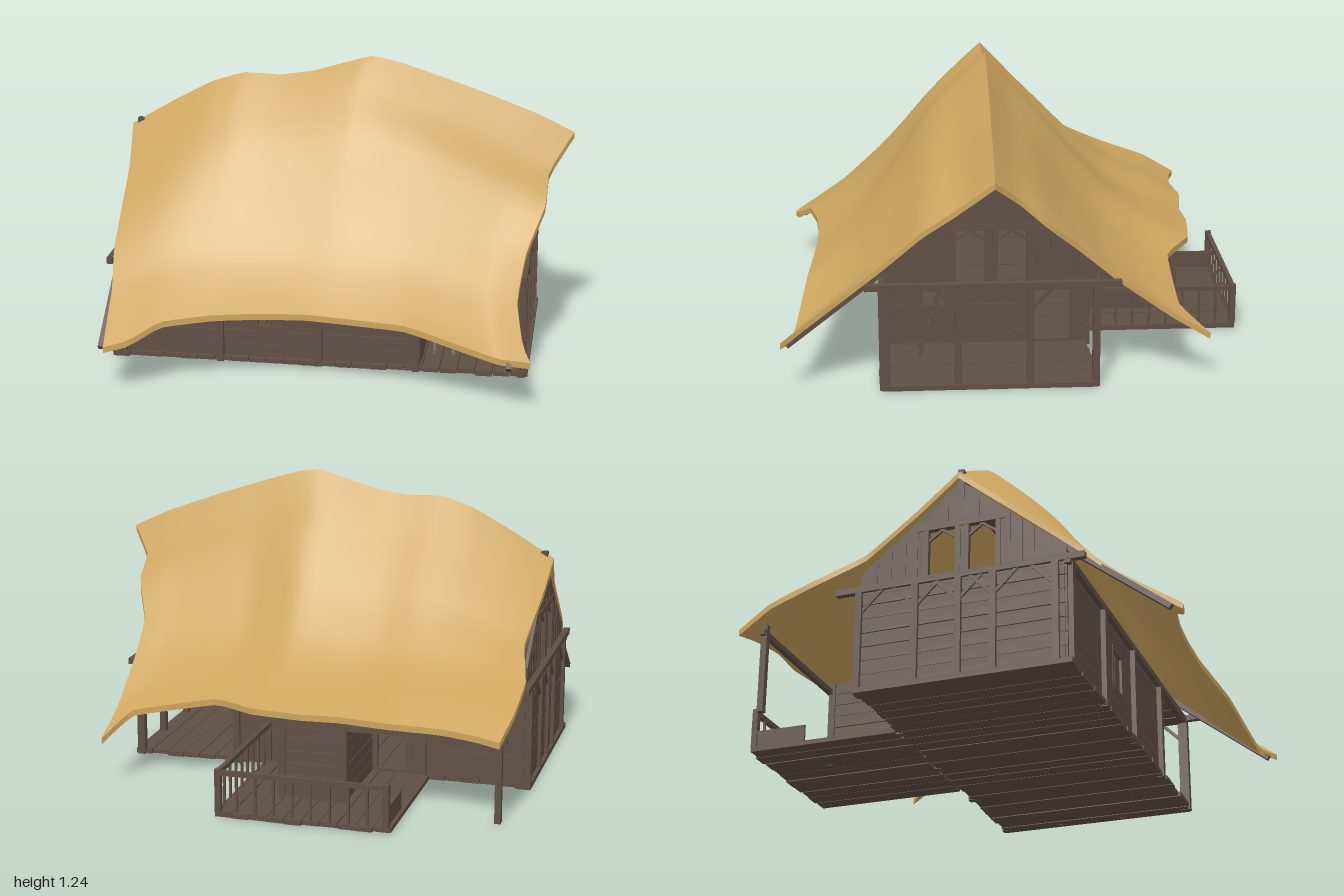
import * as THREE from 'three';

const wood = new THREE.MeshStandardMaterial({ color: 0x5f4f45 });
const thatch = new THREE.MeshStandardMaterial({ color: 0xcda55f });

let seed = 7;
const rand = () => (seed = (seed * 16807) % 2147483647) / 2147483647;

function box(parent, name, x0, x1, y0, y1, z0, z1) {
  const m = new THREE.Mesh(new THREE.BoxGeometry(x1 - x0, y1 - y0, z1 - z0), wood);
  m.position.set((x0 + x1) / 2, (y0 + y1) / 2, (z0 + z1) / 2);
  m.name = name;
  parent.add(m);
}

// Square timber between two points
function beam(parent, name, a, b, w = 0.025) {
  const p = new THREE.Vector3(...a), q = new THREE.Vector3(...b);
  const m = new THREE.Mesh(new THREE.BoxGeometry(w, w, p.distanceTo(q)), wood);
  m.position.copy(p).lerp(q, 0.5);
  m.lookAt(q);
  m.name = name;
  parent.add(m);
}

// Wall of horizontal planks along 'x' or 'z', with openings [from, to, bottom, top]
function plankWall(parent, name, axis, pos, from, to, top, openings = []) {
  const rows = 7, h = (top - 0.02) / rows, t = 0.009;
  const wall = new THREE.Group();
  wall.name = name;
  for (let i = 0; i < rows; i++) {
    const y0 = 0.02 + i * h, y1 = y0 + h - 0.001 - 0.003 * rand(), mid = (y0 + y1) / 2;
    let start = from;
    const spans = [];
    for (const o of openings) {
      if (mid < o[2] || mid > o[3]) continue;
      spans.push([start, o[0]]);
      start = o[1];
    }
    spans.push([start, to]);
    for (const [a, b] of spans) {
      if (axis === 'x') box(wall, 'plank', a, b, y0, y1, pos - t, pos + t);
      else box(wall, 'plank', pos - t, pos + t, y0, y1, a, b);
    }
  }
  for (const [a, b, y0, y1] of openings) {
    const pt = (s, y) => axis === 'x' ? [s, y, pos] : [pos, y, s];
    for (const s of [a, b]) beam(wall, 'openingJamb', pt(s, y0), pt(s, y1), 0.022);
    for (const y of [y0, y1]) beam(wall, 'openingLintel', pt(a, y), pt(b, y), 0.022);
  }
  parent.add(wall);
}

// Floor boards running front to back
function floorBoards(parent, name, x0, x1, z0, z1, y0, y1, n) {
  const g = new THREE.Group();
  g.name = name;
  const w = (x1 - x0) / n;
  for (let i = 0; i < n; i++)
    box(g, 'floorBoard', x0 + i * w, x0 + (i + 1) * w - 0.003, y0 + rand() * 0.004, y1 + rand() * 0.003,
      z0 + rand() * 0.015, z1 - rand() * 0.015);
  parent.add(g);
}

// One roof slope: a sheet stretched between ridge, eave and two verges, with thickness;
// bulge(t) raises or lowers the middle on the way from ridge to eave
function roofSlope(name, ridgePts, eavePts, leftPts, rightPts, bulge) {
  const curve = pts => new THREE.CatmullRomCurve3(pts.map(p => new THREE.Vector3(...p)), false, 'catmullrom', 0.12);
  const [R, E, L, V] = [ridgePts, eavePts, leftPts, rightPts].map(curve);
  const [r0, r1, e0, e1] = [R.getPoint(0), R.getPoint(1), E.getPoint(0), E.getPoint(1)];
  const nu = 40, nt = 20, thick = 0.026;
  const at = (u, t) => {
    const p = new THREE.Vector3();
    p.addScaledVector(R.getPointAt(u), 1 - t).addScaledVector(E.getPointAt(u), t);
    p.addScaledVector(L.getPointAt(t), 1 - u).addScaledVector(V.getPointAt(t), u);
    p.addScaledVector(r0, -(1 - u) * (1 - t)).addScaledVector(r1, -u * (1 - t));
    p.addScaledVector(e0, -(1 - u) * t).addScaledVector(e1, -u * t);
    p.y += bulge(t) * Math.sin(Math.PI * u);
    return p;
  };
  const pos = [], idx = [];
  const flip = eavePts[0][2] < ridgePts[0][2];
  const grid = (fn, cols, rows, reverse) => {
    const base = pos.length / 3, w = cols + 1;
    for (let j = 0; j <= rows; j++) for (let i = 0; i <= cols; i++) pos.push(...fn(i, j).toArray());
    for (let j = 0; j < rows; j++) for (let i = 0; i < cols; i++) {
      const a = base + j * w + i, b = a + 1, c = a + w, d = c + 1;
      if (reverse !== flip) idx.push(a, b, c, b, d, c);
      else idx.push(a, c, b, b, c, d);
    }
  };
  const drop = (p, k) => { p.y -= k * thick; return p; };
  grid((i, j) => at(i / nu, j / nt), nu, nt, false);
  grid((i, j) => drop(at(i / nu, j / nt), 1), nu, nt, true);
  grid((i, j) => drop(at(i / nu, 1), j), nu, 1, false);
  grid((i, j) => drop(at(0, i / nt), j), nt, 1, false);
  grid((i, j) => drop(at(1, i / nt), j), nt, 1, true);
  const geo = new THREE.BufferGeometry();
  geo.setAttribute('position', new THREE.Float32BufferAttribute(pos, 3));
  geo.setIndex(idx);
  geo.computeVertexNormals();
  const m = new THREE.Mesh(geo, thatch);
  m.name = name;
  return m;
}

// Gable end with two window openings, battens and window bracing
function gable(x, side) {
  const g = new THREE.Group();
  g.name = side + 'Gable';
  const height = z => 0.875 - 0.84 * Math.abs(z - 0.11);
  const s = new THREE.Shape([[-0.31, 0.44], [0.55, 0.44], [0.55, height(0.55)], [0.11, 0.875], [-0.31, height(-0.31)]]
    .map(p => new THREE.Vector2(...p)));
  const windows = [[-0.035, 0.1], [0.135, 0.27]];
  for (const [a, b] of windows)
    s.holes.push(new THREE.Path([[a, 0.455], [a, 0.68], [b, 0.68], [b, 0.455]].map(p => new THREE.Vector2(...p))));
  const wall = new THREE.Mesh(new THREE.ExtrudeGeometry(s, { depth: 0.014, bevelEnabled: false }), wood);
  wall.geometry.rotateY(-Math.PI / 2);
  wall.position.x = x + 0.007;
  wall.name = 'gableBoards';
  g.add(wall);
  for (const [a, b] of windows) {
    for (const z of [a, b]) beam(g, 'windowJamb', [x, 0.45, z], [x, 0.69, z], 0.022);
    for (const z of [a, b]) beam(g, 'windowBrace', [x, 0.62, z], [x, 0.67, (a + b) / 2], 0.01);
  }
  beam(g, 'windowHead', [x, 0.685, -0.07], [x, 0.685, 0.3]);
  for (const z of [-0.25, -0.19, -0.13, -0.08, 0.05, 0.117, 0.18, 0.31, 0.36, 0.41, 0.47])
    beam(g, 'batten', [x, z > -0.03 && z < 0.26 ? 0.69 : 0.45, z], [x, height(z) - 0.01, z], 0.02);
  return g;
}

export function createModel() {
  const model = new THREE.Group();
  model.name = 'thatchedHouse';

  // Thatched roof
  const ridge = [[-0.955, 0.9, 0.11], [-0.77, 1.01, 0.11], [-0.6, 1.1, 0.11], [-0.46, 1.145, 0.11], [-0.3, 1.14, 0.11],
    [-0.15, 1.165, 0.11], [0.09, 1.235, 0.11], [0.22, 1.21, 0.11], [0.5, 1.12, 0.11], [0.8, 1.01, 0.11], [0.955, 0.935, 0.11]];
  const roof = new THREE.Group();
  roof.name = 'roof';
  roof.add(roofSlope('frontThatch', ridge,
    [[-0.88, 0.21, 0.99], [-0.78, 0.235, 0.97], [-0.66, 0.3, 0.91], [-0.45, 0.325, 0.87], [-0.27, 0.335, 0.855],
      [-0.07, 0.34, 0.85], [0.33, 0.325, 0.88], [0.7, 0.225, 0.92], [0.835, 0.235, 0.97]],
    [[-0.955, 0.9, 0.11], [-0.93, 0.75, 0.3], [-0.925, 0.5, 0.6], [-0.9, 0.37, 0.75], [-0.88, 0.21, 0.99]],
    [[0.955, 0.935, 0.11], [0.86, 0.8, 0.25], [0.855, 0.7, 0.4], [0.79, 0.55, 0.55], [0.765, 0.4, 0.73],
      [0.8, 0.28, 0.9], [0.835, 0.235, 0.97]], t => 0.035 * Math.sin(2 * Math.PI * t)));
  roof.add(roofSlope('backThatch', ridge,
    [[-0.92, 0.37, -0.85], [-0.82, 0.38, -0.82], [-0.67, 0.39, -0.8], [-0.46, 0.4, -0.82], [-0.26, 0.4, -0.79],
      [-0.1, 0.4, -0.8], [0.12, 0.4, -0.775], [0.31, 0.39, -0.66], [0.68, 0.31, -0.66], [0.775, 0.215, -0.78]],
    [[-0.955, 0.9, 0.11], [-0.94, 0.78, -0.05], [-0.91, 0.62, -0.3], [-0.955, 0.52, -0.5], [-0.95, 0.45, -0.7], [-0.92, 0.37, -0.85]],
    [[0.955, 0.935, 0.11], [0.86, 0.83, 0], [0.86, 0.74, -0.1], [0.78, 0.6, -0.25], [0.77, 0.47, -0.4],
      [0.765, 0.31, -0.62], [0.775, 0.215, -0.78]], t => 0.025 * Math.sin(2 * Math.PI * t) - 0.24 * t * (1 - t)));
  beam(roof, 'ridgePole', [-0.92, 0.87, 0.11], [0.8, 0.87, 0.11], 0.03);
  beam(roof, 'ridgePoleEnd', [-0.93, 0.915, 0.11], [-0.9, 0.915, 0.11], 0.025);
  for (const x of [-0.9, 0.75]) beam(roof, 'vergeRafter', [x, 0.85, 0.11], [x, 0.19, 0.95], 0.022);
  model.add(roof);

  // Floors
  floorBoards(model, 'mainFloor', -0.955, 0.81, -0.32, 0.58, 0, 0.02, 24);
  floorBoards(model, 'porchFloor', -0.52, 0.21, -0.99, -0.31, 0, 0.02, 10);
  floorBoards(model, 'loftFloor', -0.94, 0.78, -0.3, 0.55, 0.42, 0.435, 20);

  // Plank walls of the main room and the back wing
  plankWall(model, 'frontWall', 'x', 0.545, -0.935, 0.35, 0.44, [[-0.34, -0.21, 0.15, 0.33]]);
  plankWall(model, 'backWall', 'x', -0.3, -0.935, 0.35, 0.44, [[-0.43, -0.28, 0.02, 0.34]]);
  plankWall(model, 'rightWall', 'z', -0.93, -0.3, 0.545, 0.44);
  plankWall(model, 'leftWall', 'z', 0.35, -0.3, 0.545, 0.44, [[-0.25, -0.07, 0.02, 0.34], [0.29, 0.4, 0.18, 0.34]]);
  plankWall(model, 'wingRightWall', 'z', -0.26, -0.73, -0.3, 0.38);
  plankWall(model, 'wingLeftWall', 'z', 0, -0.73, -0.3, 0.38);
  plankWall(model, 'wingBackWall', 'x', -0.73, -0.26, 0, 0.38);
  for (const x of [-0.26, 0]) beam(model, 'wingPost', [x, 0, -0.73], [x, 0.38, -0.73], 0.03);
  box(model, 'windowShutter', -0.285, -0.22, 0.16, 0.32, 0.535, 0.545);

  // Posts, end beams and braces
  for (const z of [0.56, -0.31]) {
    for (const x of [-0.91, -0.49, -0.07, 0.34, 0.78]) beam(model, 'post', [x, 0, z], [x, 0.44, z], 0.03);
    beam(model, 'wallPlate', [-0.95, 0.435, z], [0.8, 0.435, z], 0.028);
  }
  const ends = [[0.785, 'left', [-0.31, -0.04, 0.255, 0.545]], [-0.94, 'right', [-0.31, -0.07, 0.11, 0.255, 0.51]]];
  for (const [x, side, zs] of ends) {
    beam(model, 'endBeam', [x, 0.447, -0.41], [x, 0.447, 0.63], 0.026);
    for (const z of zs) {
      beam(model, 'endPost', [x, 0, z], [x, 0.44, z], 0.028);
      for (const s of [-1, 1])
        if (z + s * 0.1 > -0.32 && z + s * 0.1 < 0.6) beam(model, 'brace', [x, 0.34, z], [x, 0.44, z + s * 0.1], 0.014);
    }
    model.add(gable(side === 'left' ? 0.75 : -0.92, side));
  }

  // Ladder to the loft
  const ladder = new THREE.Group();
  ladder.name = 'ladder';
  for (const x of [0.405, 0.485]) beam(ladder, 'ladderRail', [x, 0.02, 0.41], [x, 0.44, 0.27], 0.01);
  for (let i = 1; i < 10; i++) {
    const y = 0.02 + i * 0.042, z = 0.41 - i * 0.014;
    beam(ladder, 'rung', [0.405, y, z], [0.485, y, z], 0.007);
  }
  model.add(ladder);

  // Porch railing
  const rail = (a, b, n) => {
    const g = new THREE.Group();
    g.name = 'porchRailing';
    beam(g, 'handrail', [a[0], 0.185, a[1]], [b[0], 0.185, b[1]], 0.02);
    for (let i = 0; i <= n; i++) {
      const x = a[0] + (b[0] - a[0]) * i / n, z = a[1] + (b[1] - a[1]) * i / n;
      beam(g, 'baluster', [x, 0.02, z], [x, i % n ? 0.18 : 0.2, z], i % n ? 0.01 : 0.025);
    }
    model.add(g);
  };
  rail([0.195, -0.31], [0.195, -0.97], 9);
  rail([0.195, -0.97], [-0.5, -0.97], 9);
  box(model, 'porchKickBoard', -0.505, -0.495, 0.02, 0.1, -0.98, -0.74);

  // Free-standing eave post with its beam
  beam(model, 'eavePost', [-0.9, 0, -0.74], [-0.9, 0.38, -0.74], 0.026);
  beam(model, 'eaveBeam', [-0.93, 0.34, -0.74], [-0.26, 0.34, -0.74], 0.022);
  return model;
}
